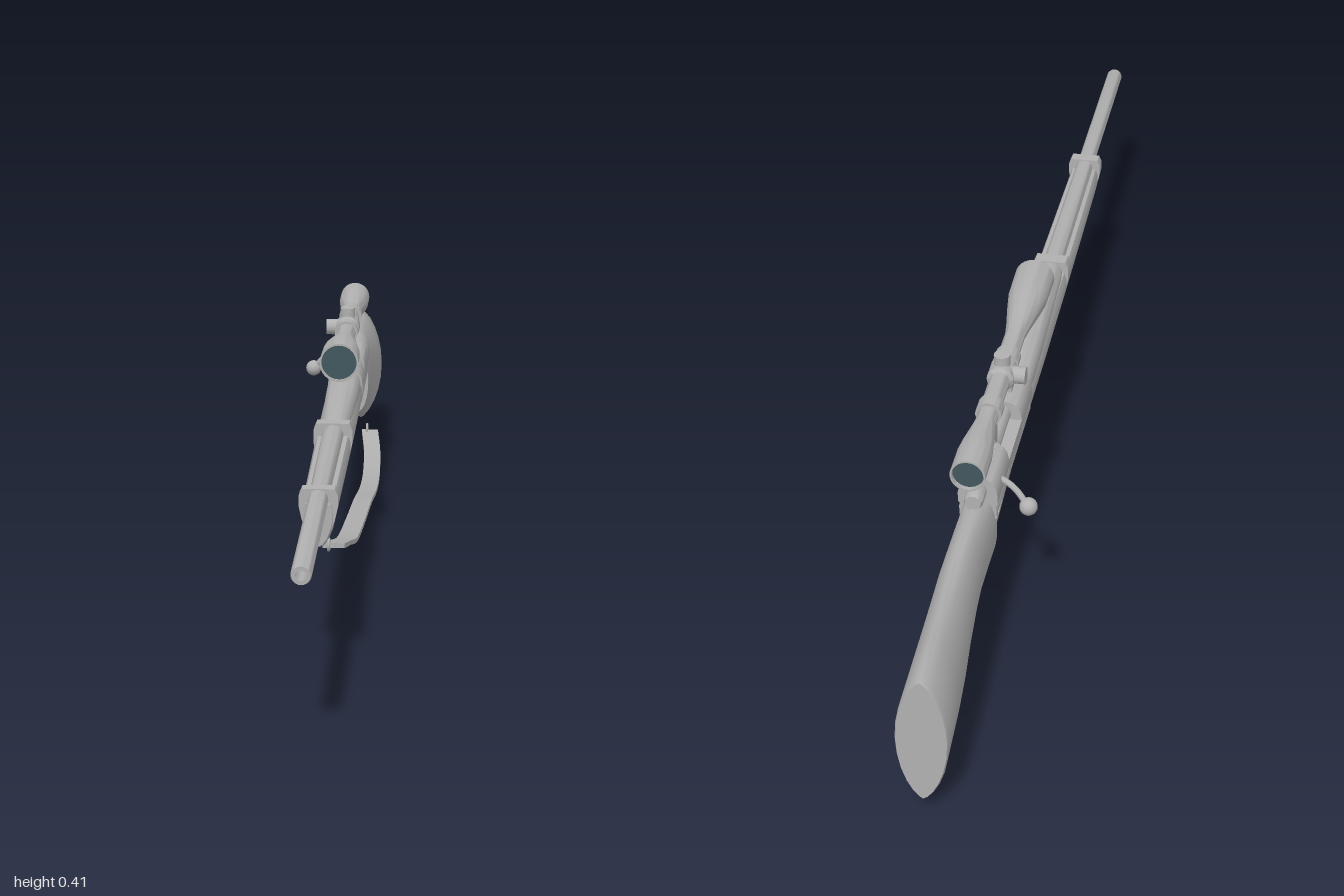
import * as THREE from 'three';
import { toCreasedNormals } from 'three/addons/utils/BufferGeometryUtils.js';

const CX = 0.019; // centre plane of the rifle

// Half outlines, bottom to top: [share of half width, share of height]
const trough = [[0, 0], [0.3, 0.04], [0.6, 0.18], [0.85, 0.4], [1, 0.65], [1, 0.88], [0.85, 1], [0, 1]];
const arch = [[0, 0], [0.9, 0], [1, 0.1], [1, 0.4], [0.92, 0.65], [0.7, 0.87], [0.4, 0.97], [0, 1]];
const slab = [[0, 0], [1, 0], [1, 1], [0, 1]];
// p = 1 is an ellipse, larger values sharpen top and bottom
const oval = (p) => Array.from({ length: 13 }, (_, i) => {
  const a = (i / 12) * Math.PI;
  return [Math.pow(Math.abs(Math.sin(a)), p), (1 - Math.cos(a)) / 2];
});

// Skin closed cross-sections [z, bottom, top, halfWidth, outline, x], ordered front to back
function loft(sections, crease = 0.6) {
  const pos = [], idx = [];
  let n = 0;
  for (const [z, y0, y1, w, outline, x = CX] of sections) {
    const ring = [...outline.map(([u, v]) => [u, v]),
      ...outline.slice(1, -1).reverse().map(([u, v]) => [-u, v])];
    n = ring.length;
    for (const [u, v] of ring) pos.push(x + u * w, y0 + v * (y1 - y0), z);
  }
  const last = sections.length - 1;
  for (let i = 0; i < last; i++) {
    for (let j = 0; j < n; j++) {
      const k = (j + 1) % n, a = i * n + j, b = i * n + k;
      idx.push(a, a + n, b + n, a, b + n, b);
    }
  }
  for (const i of [0, last]) {
    const [z, y0, y1, , , x = CX] = sections[i];
    const c = pos.length / 3;
    pos.push(x, (y0 + y1) / 2, z);
    for (let j = 0; j < n; j++) {
      const a = i * n + j, b = i * n + (j + 1) % n;
      if (i === 0) idx.push(c, a, b); else idx.push(c, b, a);
    }
  }
  const g = new THREE.BufferGeometry();
  g.setAttribute('position', new THREE.Float32BufferAttribute(pos, 3));
  g.setIndex(idx);
  return toCreasedNormals(g, crease);
}

// Turned part along z from [radius, z] points, back to front
function turned(points, y, sides = 32) {
  const g = new THREE.LatheGeometry(points.map(([r, z]) => new THREE.Vector2(r, z)), sides);
  return toCreasedNormals(g.rotateX(Math.PI / 2).translate(CX, y, 0), 0.6);
}

export function createModel() {
  const model = new THREE.Group();
  const grey = new THREE.MeshStandardMaterial({ color: 0xb0b0b0 });
  grey.name = 'grey';
  const glass = new THREE.MeshStandardMaterial({ color: 0x42585e });
  glass.name = 'darkGlass';

  const add = (name, geometry, material = grey, parent = model) => {
    const m = new THREE.Mesh(geometry, material);
    m.name = name;
    parent.add(m);
    return m;
  };
  const tube = (points, r) => new THREE.TubeGeometry(
    new THREE.CatmullRomCurve3(points.map((p) => new THREE.Vector3(...p))), 20, r, 10);
  const box = (w, h, d, x, y, z) => new THREE.BoxGeometry(w, h, d).translate(x, y, z);

  // Barrel with a hollow muzzle
  add('barrel', turned([[0, -0.25], [0.02, -0.25], [0.019, 0.1], [0.016, 0.6], [0.0155, 0.995],
    [0.014, 1], [0.008, 1], [0.008, 0.95], [0, 0.95]], 0.291));

  // Wooden fore-end, hand guard and butt
  add('foreStock', loft([[0.605, 0.214, 0.284, 0.023, trough], [0.59, 0.208, 0.288, 0.027, trough],
    [0.4, 0.206, 0.288, 0.029, trough], [0.17, 0.203, 0.29, 0.031, trough],
    [-0.05, 0.2, 0.29, 0.032, trough], [-0.24, 0.2, 0.29, 0.032, trough]]));
  add('handGuard', loft([[0.17, 0.275, 0.31, 0.022, arch], [0.14, 0.275, 0.314, 0.025, arch],
    [-0.1, 0.275, 0.317, 0.03, arch], [-0.19, 0.275, 0.317, 0.031, arch], [-0.225, 0.275, 0.311, 0.029, arch]]));
  add('buttStock', loft([[-0.54, 0.15, 0.282, 0.031, oval(0.75)], [-0.6, 0.15, 0.287, 0.031, oval(0.85)],
    [-0.66, 0.146, 0.293, 0.031, oval(1)], [-0.72, 0.132, 0.293, 0.033, oval(1.1)],
    [-0.78, 0.106, 0.288, 0.035, oval(1.2)], [-0.84, 0.074, 0.283, 0.038, oval(1.3)],
    [-0.9, 0.052, 0.279, 0.04, oval(1.35)], [-0.995, 0.034, 0.272, 0.042, oval(1.4)],
    [-1, 0.038, 0.268, 0.04, oval(1.4)]], 0.7));

  // Bands around the fore-end
  add('middleBand', loft([[0.193, 0.212, 0.312, 0.034, trough], [0.165, 0.212, 0.312, 0.034, trough]]));
  add('frontBand', loft([[0.602, 0.222, 0.308, 0.031, trough], [0.578, 0.222, 0.308, 0.031, trough]]));

  // Receiver: full ends joined by a section that is open on one side for the port
  const receiver = new THREE.Group();
  receiver.name = 'receiver';
  model.add(receiver);
  const part = (name, g) => add(name, g, grey, receiver);
  part('receiverFront', loft([[-0.22, 0.265, 0.32, 0.033, arch], [-0.32, 0.265, 0.32, 0.033, arch]]));
  part('receiverRear', loft([[-0.44, 0.265, 0.32, 0.033, arch], [-0.545, 0.265, 0.32, 0.033, arch]]));
  part('portFloor', box(0.066, 0.02, 0.12, CX, 0.275, -0.38));
  part('portWall', loft([[-0.32, 0.28, 0.32, 0.014, arch, CX + 0.019], [-0.44, 0.28, 0.32, 0.014, arch, CX + 0.019]]));
  part('boltBody', turned([[0, -0.585], [0.013, -0.585], [0.016, -0.578], [0.016, -0.55], [0.014, -0.54],
    [0.014, -0.3], [0, -0.3]], 0.297, 20));
  part('receiverBase', loft([[-0.225, 0.2, 0.27, 0.031, trough], [-0.545, 0.198, 0.27, 0.031, trough]]));
  part('floorPlate', box(0.022, 0.012, 0.2, CX, 0.2, -0.34));

  // Bolt handle with knob
  add('boltHandle', tube([[0.0, 0.291, -0.497], [-0.016, 0.287, -0.499], [-0.035, 0.277, -0.505],
    [-0.048, 0.264, -0.51], [-0.057, 0.252, -0.514]], 0.0055));
  add('boltKnob', new THREE.SphereGeometry(0.0155, 14, 10).translate(-0.06, 0.25, -0.515));

  // Trigger and its guard
  const bow = (d, s) => {
    s.moveTo(-0.405 - d, 0.205);
    s.lineTo(-0.41 - d, 0.165);
    s.quadraticCurveTo(-0.415 - d, 0.128 + d, -0.445, 0.128 + d);
    s.lineTo(-0.5, 0.128 + d);
    s.quadraticCurveTo(-0.526 + d, 0.128 + d, -0.528 + d, 0.16);
    s.lineTo(-0.53 + d, 0.205);
    s.closePath();
    return s;
  };
  const guard = bow(0, new THREE.Shape());
  guard.holes.push(bow(0.008, new THREE.Path()));
  add('triggerGuard', new THREE.ExtrudeGeometry(guard, { depth: 0.015, bevelEnabled: false, curveSegments: 8 })
    .rotateY(-Math.PI / 2).translate(CX + 0.0075, 0, 0));
  add('trigger', tube([[CX, 0.205, -0.458], [CX, 0.185, -0.46], [CX, 0.168, -0.466], [CX, 0.155, -0.461]], 0.004));

  // Telescopic sight
  const scope = new THREE.Group();
  scope.name = 'scope';
  model.add(scope);
  const SY = 0.377;
  add('scopeTube', turned([[0.026, -0.608], [0.026, -0.622], [0.029, -0.622], [0.029, -0.565], [0.026, -0.535],
    [0.019, -0.485], [0.0175, -0.47], [0.0175, -0.345], [0.023, -0.34], [0.023, -0.3], [0.0175, -0.295],
    [0.0175, -0.2], [0.021, -0.17], [0.03, -0.11], [0.0345, -0.075], [0.0355, 0], [0.032, 0], [0.032, -0.012]], SY), grey, scope);
  add('frontLens', new THREE.CircleGeometry(0.0325, 32).translate(CX, SY, -0.006), glass, scope);
  add('rearLens', new THREE.CircleGeometry(0.0265, 32).rotateY(Math.PI).translate(CX, SY, -0.614), glass, scope);
  add('topTurret', new THREE.CylinderGeometry(0.014, 0.014, 0.04, 20).translate(CX, 0.395, -0.32), grey, scope);
  add('sideTurret', new THREE.CylinderGeometry(0.015, 0.015, 0.04, 20).rotateZ(Math.PI / 2)
    .translate(-0.002, SY, -0.32), grey, scope);
  for (const z of [-0.277, -0.432]) {
    add('mountRing', turned([[0.017, z - 0.014], [0.022, z - 0.014], [0.022, z + 0.014], [0.017, z + 0.014]], SY), grey, scope);
    add('mountPost', box(0.02, 0.05, 0.026, CX, 0.335, z), grey, scope);
  }

  // Hanging carrying strap with its end ring
  const path = new THREE.CatmullRomCurve3([[0.043, 0.212, 0.592], [0.045, 0.168, 0.43], [0.048, 0.12, 0.25],
    [0.052, 0.085, 0], [0.054, 0.055, -0.22], [0.056, 0.02, -0.43], [0.055, 0.006, -0.6],
    [0.05, 0.016, -0.75], [0.041, 0.032, -0.855]].map((p) => new THREE.Vector3(...p)));
  add('strap', loft(path.getPoints(48).map((p) => [p.z, p.y - 0.004, p.y + 0.004, 0.0175, slab, p.x])));
  add('strapRing', new THREE.TorusGeometry(0.01, 0.0025, 8, 20).rotateY(Math.PI / 2).translate(0.035, 0.038, -0.853));
  add('strapLoop', new THREE.TorusGeometry(0.009, 0.0025, 8, 20).rotateY(Math.PI / 2).translate(0.035, 0.213, 0.59));

  return model;
}
